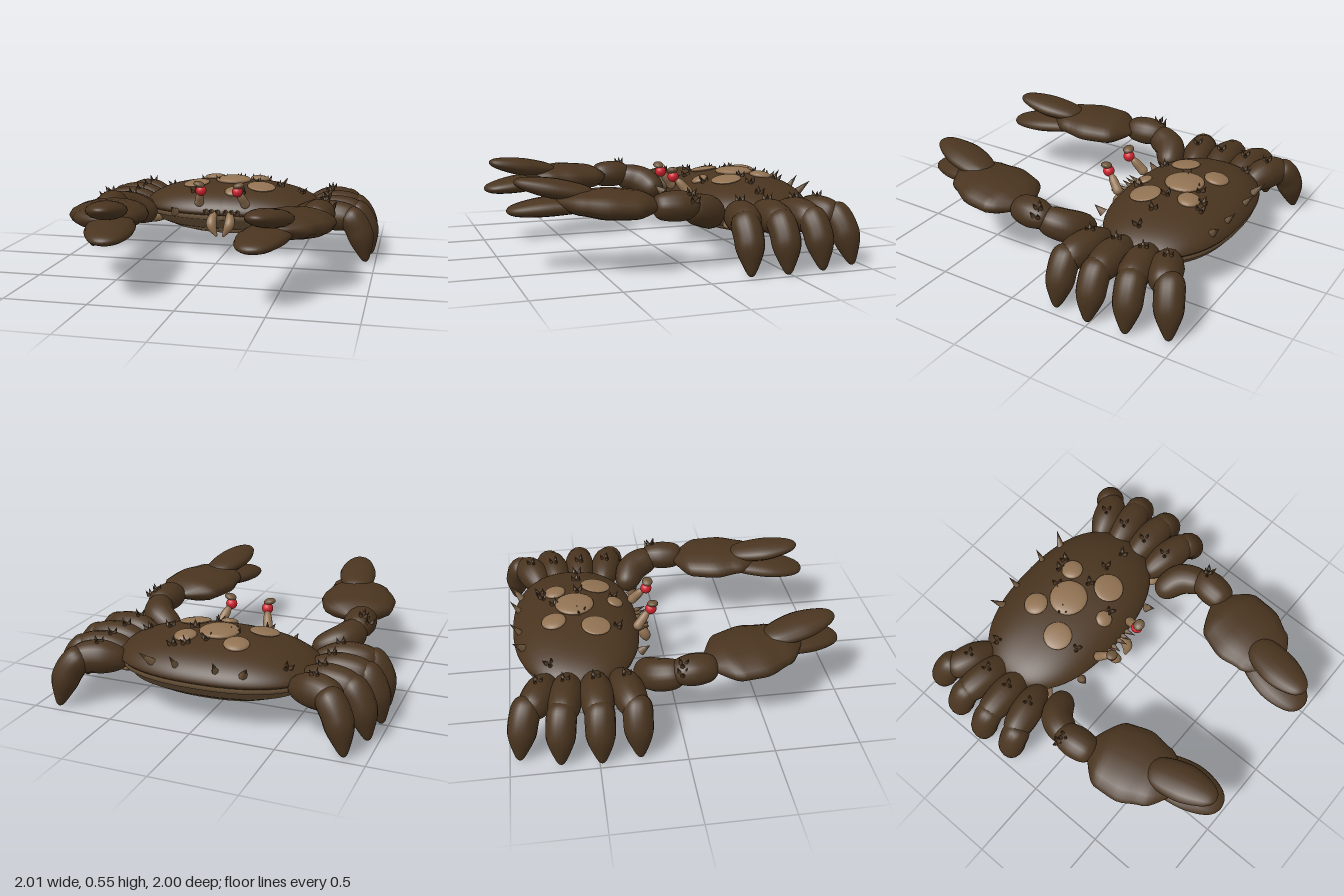
import * as THREE from 'three';
import { mergeVertices } from 'three/addons/utils/BufferGeometryUtils.js';

const mat = (name, color) => Object.assign(new THREE.MeshStandardMaterial({ color }), { name });
const V = (x, y, z) => new THREE.Vector3(x, y, z);

// Body outline: a slightly squared ellipse
const RX = 0.615, RZ = 0.39, CZ = -0.56, POW = 2.35;
const outline = (x, z) => Math.pow(Math.abs(x) ** POW + Math.abs(z) ** POW, 1 / POW);
const dome = r => 0.3 + 0.16 * Math.pow(Math.max(0, 1 - r ** 2.5), 0.6);
const shellY = (x, z) => dome(outline(x / RX, (z - CZ) / RZ));
const shellNormal = (x, z) => {
  const e = 0.02;
  return V(shellY(x - e, z) - shellY(x + e, z), 2 * e, shellY(x, z - e) - shellY(x, z + e)).normalize();
};

// Revolved profile stretched to the body outline
function bodyPart(profile) {
  const g = new THREE.LatheGeometry(profile.map(([r, y]) => new THREE.Vector2(r, y)), 72);
  const p = g.attributes.position;
  for (let i = 0; i < p.count; i++) {
    const x = p.getX(i), z = p.getZ(i), r = Math.hypot(x, z);
    const k = r > 1e-6 ? r / outline(x, z) : 1;
    p.setXYZ(i, x * k * RX, p.getY(i), CZ + z * k * RZ);
  }
  g.computeVertexNormals();
  return g;
}

// Round-ended tapering limb along a curve; flat squashes its height
function limb(points, radii, flat = 1) {
  const n = 28, sides = 16;
  const curve = new THREE.CatmullRomCurve3(points);
  let g = new THREE.TubeGeometry(curve, n, 1, sides, false);
  const p = g.attributes.position, v = V(0, 0, 0);
  for (let i = 0; i <= n; i++) {
    const s = i / n;
    const t = 0.5 - 0.5 * Math.cos(Math.PI * s);
    const f = t * (radii.length - 1), k = Math.min(Math.floor(f), radii.length - 2);
    const w = THREE.MathUtils.smoothstep(f - k, 0, 1);
    const r = THREE.MathUtils.lerp(radii[k], radii[k + 1], w)
      * Math.sqrt(Math.max(0, 1 - Math.abs(2 * t - 1) ** 5));
    const from = curve.getPointAt(s), to = curve.getPointAt(t);
    for (let j = 0; j <= sides; j++) {
      const id = i * (sides + 1) + j;
      v.fromBufferAttribute(p, id).sub(from).multiplyScalar(r);
      p.setXYZ(id, to.x + v.x, to.y + v.y * flat, to.z + v.z);
    }
  }
  g.deleteAttribute('uv');
  g.deleteAttribute('normal');
  g = mergeVertices(g, 1e-5);
  g.computeVertexNormals();
  return g;
}

export function createModel() {
  const model = new THREE.Group();
  model.name = 'crab';
  const shell = mat('dark shell brown', 0x49341f);
  const band = mat('band brown', 0x6b543a);
  const tan = mat('tan', 0x917252);
  const spineMat = mat('spine brown', 0x6e563c);
  const red = mat('eye red', 0xd0222e);
  const add = (name, geo, material) => {
    const m = new THREE.Mesh(geo, material);
    m.name = name;
    model.add(m);
    return m;
  };
  const up = V(0, 1, 0);
  const spine = (pos, dir, h = 0.06, r = 0.016, material = spineMat) => {
    const m = add('spine', new THREE.ConeGeometry(r, h, 7), material);
    const d = dir.clone().normalize();
    m.quaternion.setFromUnitVectors(up, d);
    m.position.copy(pos).addScaledVector(d, h * 0.4);
  };
  const cluster = (x, y, z, dir, material = shell) => {
    for (let i = 0; i < 3; i++) {
      const a = i * 2.1 + x * 7, c = Math.cos(a), s = Math.sin(a);
      spine(V(x + c * 0.018, y, z + s * 0.018), dir.clone().add(V(c * 0.4, 0, s * 0.4)), 0.045, 0.014, material);
    }
  };

  // Carapace, under band and belly
  const top = [[0, 0.29], [0.97, 0.285]];
  for (let i = 0; i <= 20; i++) {
    const r = Math.cos((i / 20) * Math.PI / 2);
    top.push([i === 20 ? 0 : r, dome(r)]);
  }
  add('carapace', bodyPart(top), shell);
  add('underBand', bodyPart([[0, 0.17], [0.76, 0.18], [0.86, 0.205], [0.93, 0.25],
    [0.96, 0.255], [0.97, 0.28], [0.95, 0.3], [0, 0.3]]), band);
  add('belly', bodyPart([[0, 0.11], [0.25, 0.113], [0.5, 0.13], [0.66, 0.155],
    [0.77, 0.185], [0.78, 0.2], [0.74, 0.21], [0, 0.22]]), tan);

  // Pale warts on the back: x, z, radius, height
  for (const [x, z, r, h] of [[-0.16, -0.695, 0.076, 0.024], [0.165, -0.675, 0.068, 0.024],
    [0, -0.56, 0.12, 0.028], [-0.235, -0.445, 0.09, 0.016], [0.22, -0.415, 0.095, 0.016],
    [0.045, -0.305, 0.052, 0.02]]) {
    const m = add('wart', new THREE.SphereGeometry(1, 24, 12), tan);
    m.scale.set(r, h, r);
    m.position.set(x, shellY(x, z) + 0.006, z);
    m.quaternion.setFromUnitVectors(up, shellNormal(x, z));
  }

  // Spines on the shell
  for (const [x, z] of [[0.33, -0.53], [0.48, -0.52], [-0.48, -0.74], [-0.21, -0.31], [0.11, -0.31],
    [0.03, -0.68], [0.2, -0.77], [0.13, -0.75], [-0.09, -0.53], [0.17, -0.53]])
    cluster(x, shellY(x, z), z, shellNormal(x, z));
  for (const s of [-1, 1]) {
    spine(V(s * 0.28, 0.36, -0.89), V(s * 0.5, 0.8, -0.7), 0.11, 0.026);
    spine(V(s * 0.12, 0.36, -0.9), V(s * 0.1, 0.8, -0.6), 0.11, 0.024);
  }

  for (const s of [-1, 1]) {
    // Pale pad under the hips
    const pad = add('hipPad', new THREE.SphereGeometry(1, 20, 12), tan);
    pad.scale.set(0.12, 0.055, 0.25);
    pad.position.set(s * 0.54, 0.225, -0.51);

    // Four walking legs: hip z, knee z, tip z, reach
    for (const [z0, z1, z2, reach] of [[-0.35, -0.275, -0.265, 0.935], [-0.49, -0.485, -0.485, 0.955],
      [-0.63, -0.69, -0.715, 0.935], [-0.75, -0.875, -0.945, 0.865]]) {
      const mid = (z0 + z1) / 2;
      add('upperLeg', limb([V(s * 0.5, 0.28, z0), V(s * 0.68, 0.3, mid), V(s * (reach - 0.05), 0.29, z1)],
        [0.07, 0.1, 0.09]), shell);
      add('lowerLeg', limb([V(s * (reach - 0.14), 0.35, z1 + 0.01), V(s * (reach - 0.05), 0.22, (z1 + z2) / 2),
        V(s * (reach + 0.005), 0.01, z2)], [0.09, 0.085, 0.038]), shell);
      cluster(s * 0.66, 0.39, mid, V(0, 1, 0));
    }

    // Arm and pincer
    add('upperArm', limb([V(s * 0.45, 0.27, -0.2), V(s * 0.61, 0.33, -0.13), V(s * 0.68, 0.375, 0.03)],
      [0.08, 0.098, 0.09]), shell);
    add('forearm', limb([V(s * 0.68, 0.385, -0.06), V(s * 0.665, 0.385, 0.07), V(s * 0.65, 0.385, 0.22)],
      [0.08, 0.102, 0.09], 0.88), shell);
    cluster(s * 0.74, 0.42, 0, V(s * 0.3, 1, 0));
    cluster(s * 0.7, 0.455, 0.01, V(s * 0.2, 1, 0));
    add('palm', limb([V(s * 0.62, 0.385, 0.15), V(s * 0.56, 0.4, 0.42), V(s * 0.49, 0.425, 0.74)],
      [0.13, 0.225, 0.24, 0.2, 0.12], 0.36), shell);
    add('upperFinger', limb([V(s * 0.52, 0.45, 0.52), V(s * 0.465, 0.49, 0.74), V(s * 0.425, 0.535, 0.96)],
      [0.1, 0.12, 0.08], 0.45), shell);
    add('lowerFinger', limb([V(s * 0.5, 0.4, 0.52), V(s * 0.44, 0.385, 0.76), V(s * 0.4, 0.36, 1)],
      [0.13, 0.145, 0.105], 0.37), shell);

    // Stalked eye with a brown cap and small spikes
    add('eyeStalk', limb([V(s * 0.16, 0.35, -0.2), V(s * 0.145, 0.4, -0.16), V(s * 0.125, 0.455, -0.115)],
      [0.034, 0.028, 0.022]), tan);
    const eye = add('eye', new THREE.SphereGeometry(0.035, 20, 14), red);
    eye.position.set(s * 0.12, 0.467, -0.098);
    const cap = add('eyeCap', new THREE.SphereGeometry(1, 16, 10), spineMat);
    cap.scale.set(0.038, 0.02, 0.034);
    cap.position.set(s * 0.13, 0.508, -0.088);
    cap.rotation.z = s * 0.25;
    spine(V(s * 0.145, 0.505, -0.085), V(s * 0.5, 1, 0), 0.03, 0.012);

    // Mouthparts and front-edge spines
    add('mandible', limb([V(s * 0.05, 0.31, -0.19), V(s * 0.06, 0.24, -0.13), V(s * 0.02, 0.16, -0.115)],
      [0.025, 0.034, 0.014]), tan);
    for (const x of [0.025, 0.065, 0.105])
      spine(V(s * x, 0.31, -0.18), V(s * 0.1, 0.35, 1), 0.09, 0.02);
    spine(V(s * 0.32, 0.3, -0.18), V(s * 0.2, 0.6, 0.7), 0.075, 0.03);
  }
  return model;
}
